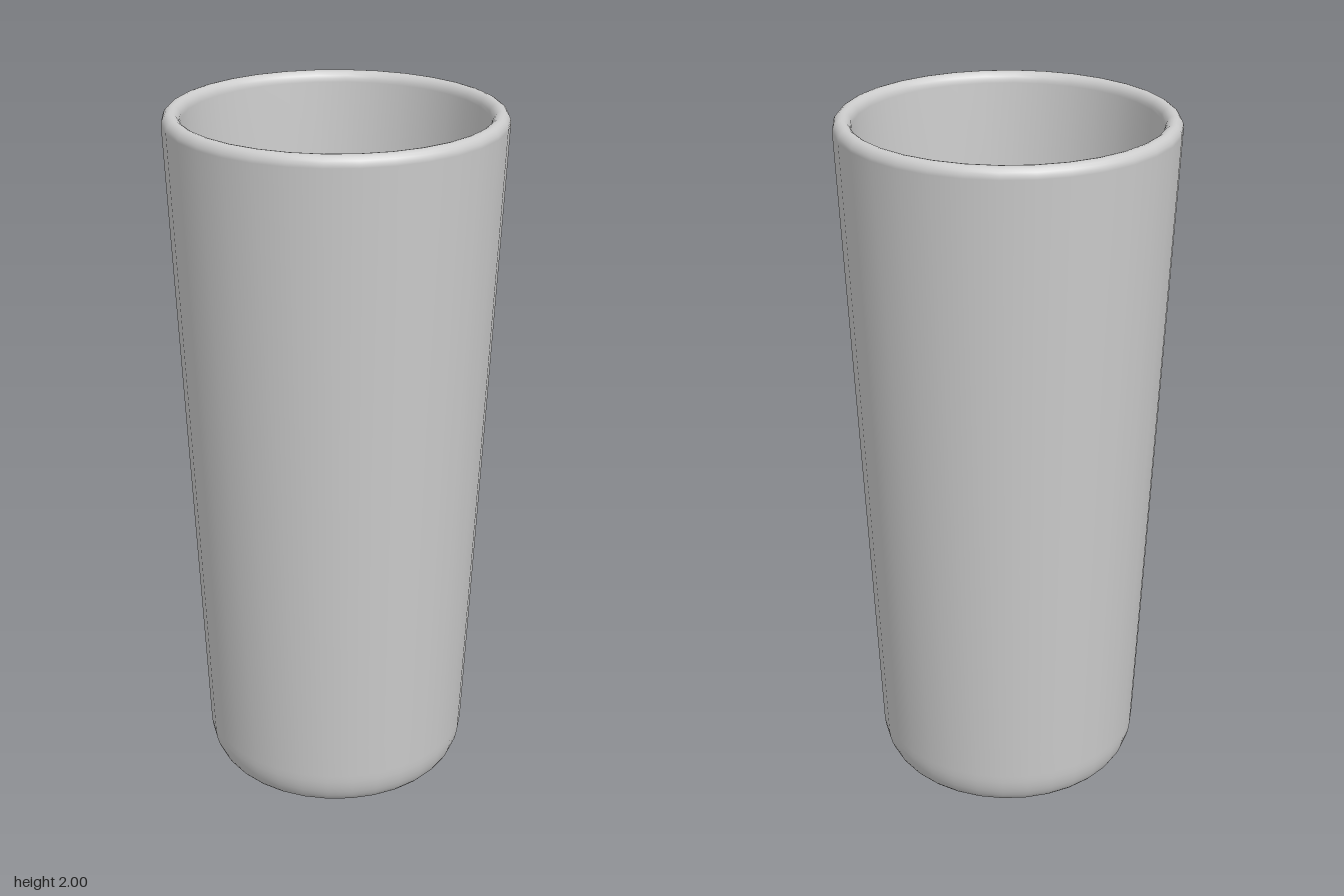
import * as THREE from 'three';

const SEGMENTS = 32;

// Quarter-ellipse points from angle a0 to a1 around (cx, cy)
function arc(cx, cy, rx, ry, a0, a1, steps) {
  const pts = [];
  for (let i = 0; i <= steps; i++) {
    const a = a0 + ((a1 - a0) * i) / steps;
    pts.push(new THREE.Vector2(cx + rx * Math.cos(a), cy + ry * Math.sin(a)));
  }
  return pts;
}

function lathe(name, points, material) {
  const mesh = new THREE.Mesh(new THREE.LatheGeometry(points, SEGMENTS), material);
  mesh.name = name;
  return mesh;
}

export function createModel() {
  const group = new THREE.Group();
  group.name = 'drinkingGlass';
  const material = new THREE.MeshStandardMaterial({ color: 0xcccccc });

  // Tapered wall: rounded foot, outer side, rolled rim, inner side
  const wall = [
    ...arc(0.335, 0.11, 0.053, 0.11, -Math.PI / 2, 0, 8),
    new THREE.Vector2(0.392, 0.2),
    ...arc(0.445, 1.97, 0.025, 0.03, 0, Math.PI, 10),
    new THREE.Vector2(0.405, 1.7),
    new THREE.Vector2(0.337, 0.14),
  ];
  group.add(lathe('glassWall', wall, material));

  // Flat underside and inner floor
  const disc = (name, radius, y, up) => {
    const mesh = new THREE.Mesh(new THREE.CircleGeometry(radius, SEGMENTS), material);
    mesh.name = name;
    mesh.rotation.x = up ? -Math.PI / 2 : Math.PI / 2;
    mesh.rotation.z = Math.PI / 2;
    mesh.position.y = y;
    group.add(mesh);
  };
  disc('glassBase', 0.335, 0, false);
  disc('glassFloor', 0.337, 0.14, true);

  // Drink filling the glass
  const drink = new THREE.Mesh(new THREE.CylinderGeometry(0.404, 0.336, 1.55, SEGMENTS), material);
  drink.name = 'drink';
  drink.position.y = 0.925;
  group.add(drink);

  return group;
}
